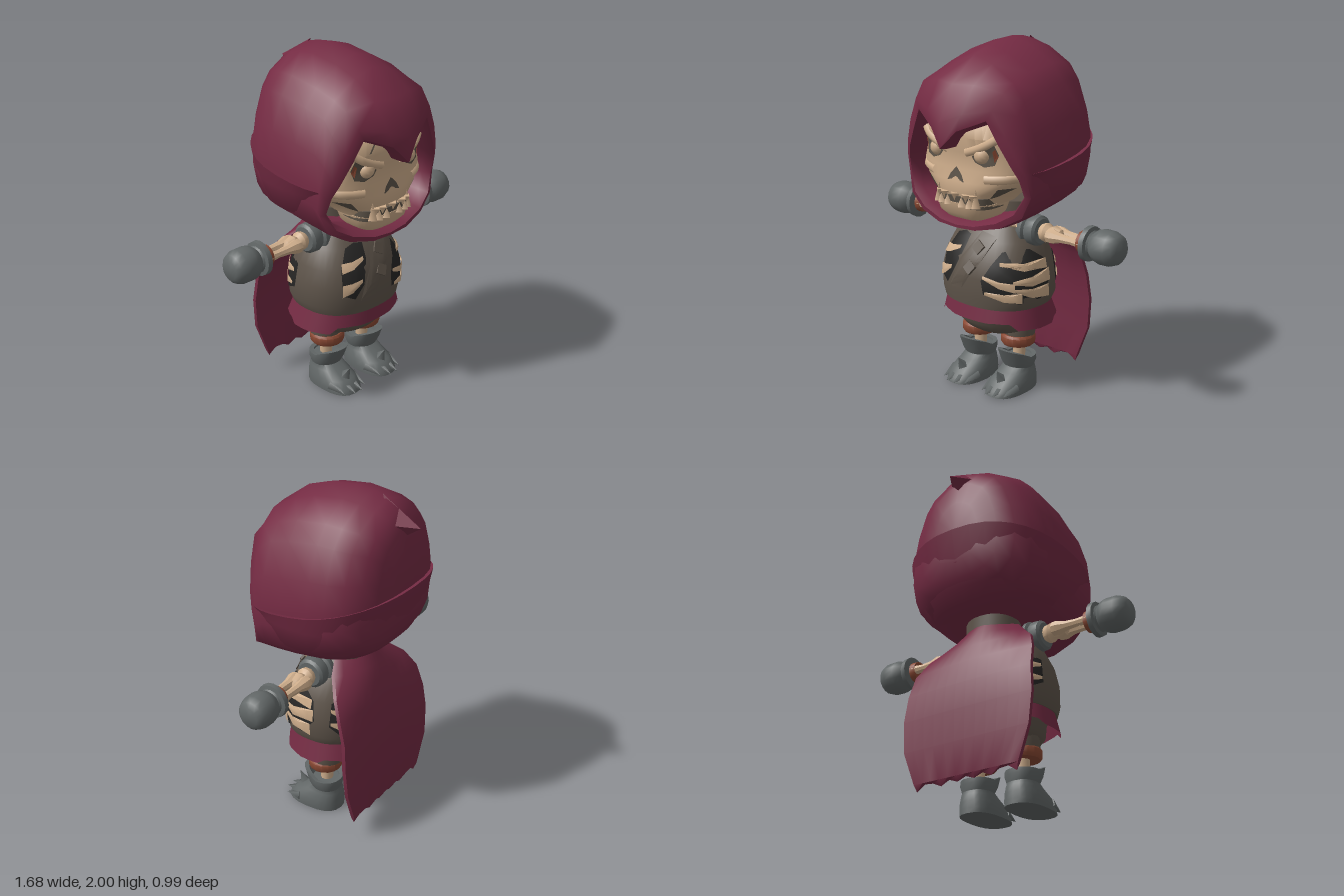
import * as THREE from 'three';
import { toCreasedNormals } from 'three/addons/utils/BufferGeometryUtils.js';

const mat = (name, color, side = THREE.FrontSide) => Object.assign(new THREE.MeshStandardMaterial({ color, side }), { name });
const cloth = mat('maroon cloth', 0x742b43, THREE.DoubleSide);
const bone = mat('bone', 0xcfae8c, THREE.DoubleSide);
const leather = mat('worn leather', 0x5e544a, THREE.DoubleSide);
const metal = mat('grey metal', 0x626767, THREE.DoubleSide);
const rust = mat('rust strap', 0x8c4a34, THREE.DoubleSide);
const dark = mat('dark hollow', 0x272625, THREE.DoubleSide);
const shade = mat('socket brown', 0x5c5348, THREE.DoubleSide);

const rad = THREE.MathUtils.degToRad;
const spow = (v, e) => Math.sign(v) * Math.abs(v) ** e;

export function createModel() {
  const root = new THREE.Group();
  root.name = 'hoodedSkeleton';

  const add = (name, geo, material, parent = root) => {
    const m = new THREE.Mesh(geo, material);
    m.name = name;
    parent.add(m);
    return m;
  };

  // Surface through rows of points
  const grid = (rows, crease = 0.7) => {
    const n = rows[0].length, idx = [];
    for (let i = 0; i < rows.length - 1; i++) for (let j = 0; j < n - 1; j++) {
      const a = i * n + j, b = a + n;
      idx.push(a, a + 1, b + 1, a, b + 1, b);
    }
    const g = new THREE.BufferGeometry();
    g.setAttribute('position', new THREE.Float32BufferAttribute(rows.flat(2), 3));
    g.setIndex(idx);
    return toCreasedNormals(g, crease);
  };

  // Skin over rows [y, halfWidth, zFront, zBack]; a = degrees from the front towards +x
  const makeSkin = (rows, e = 1) => (a, y, off = 0) => {
    let i = 0;
    while (i < rows.length - 2 && y > rows[i + 1][0]) i++;
    const t = (y - rows[i][0]) / (rows[i + 1][0] - rows[i][0]);
    const [w, f, b] = [1, 2, 3].map(k => THREE.MathUtils.lerp(rows[i][k], rows[i + 1][k], t));
    const s = Math.sin(rad(a)), c = Math.cos(rad(a));
    return [w * spow(s, e) + off * s, y, (f + b) / 2 + (f - b) / 2 * spow(c, e) + off * c];
  };
  const loft = (rows, e = 1, sides = 32) => {
    const skin = makeSkin(rows, e);
    const pole = r => Array(sides + 1).fill([0, r[0], (r[2] + r[3]) / 2]);
    const rings = rows.map(r => Array.from({ length: sides + 1 }, (_, j) => skin(j * 360 / sides, r[0])));
    return grid([pole(rows[0]), ...rings, pole(rows.at(-1))]);
  };

  // Thin patch that follows a skin; outline points are [degrees, y]
  const patch = (skin, pts, off = 0.006) => {
    const loop = [...pts, pts[0]];
    const ca = pts.reduce((s, p) => s + p[0], 0) / pts.length, cy = pts.reduce((s, p) => s + p[1], 0) / pts.length;
    return grid([0, 0.25, 0.5, 0.75, 1].map(k => loop.map(([a, y]) => skin(ca + (a - ca) * k, cy + (y - cy) * k, off))));
  };
  const flip = (pts, s) => pts.map(([a, y]) => [a * s, y]);
  const tube = (pts, r) => new THREE.TubeGeometry(new THREE.CatmullRomCurve3(pts.map(p => new THREE.Vector3(...p))), 10, r, 7);
  const ridge = (skin, a0, y0, a1, y1, r, off) =>
    tube([0, 0.33, 0.67, 1].map(t => skin(a0 + (a1 - a0) * t, y0 + (y1 - y0) * t, off)), r);
  const lathe = (pts, sides = 16) => toCreasedNormals(new THREE.LatheGeometry(pts.map(p => new THREE.Vector2(...p)), sides), 0.7);

  // Hood: rings from the face opening to the back
  const mirrorRing = h => [...h, ...h.slice(0, -1).reverse().map(([x, y, z]) => [-x, y, z])];
  const rim = [[0, 1.47, 0.485], [0.09, 1.57, 0.455], [0.24, 1.635, 0.39], [0.30, 1.52, 0.37], [0.365, 1.40, 0.34], [0.395, 1.33, 0.31],
    [0.41, 1.23, 0.28], [0.36, 1.135, 0.31], [0.26, 1.075, 0.34], [0.12, 1.035, 0.36], [0, 1.025, 0.365]];
  const lip = [[0, 1.61, 0.49], [0.12, 1.66, 0.45], [0.27, 1.69, 0.38], [0.34, 1.56, 0.355], [0.40, 1.42, 0.32], [0.43, 1.34, 0.29],
    [0.44, 1.23, 0.265], [0.40, 1.12, 0.29], [0.28, 1.05, 0.33], [0.13, 1.015, 0.36], [0, 1.01, 0.365]];
  const brow = [[0, 1.80, 0.385], [0.13, 1.805, 0.355], [0.285, 1.775, 0.305], [0.365, 1.66, 0.285], [0.418, 1.50, 0.28], [0.438, 1.37, 0.26],
    [0.445, 1.25, 0.25], [0.41, 1.13, 0.26], [0.29, 1.05, 0.28], [0.14, 1.015, 0.30], [0, 1.01, 0.30]];
  const inset = (k, dz) => rim.map(([x, y, z]) => [x * k, 1.32 + (y - 1.32) * k, z - dz]);
  const outline = [[0, 1], [0.29, 0.96], [0.62, 0.87], [0.78, 0.77], [0.93, 0.58], [1, 0.42], [1, 0.28], [0.94, 0.14], [0.7, 0.045], [0.35, 0.008], [0, 0]];
  const sections = [[0.21, 0.445, 1.93, 1.02], [0.08, 0.46, 1.975, 1.035], [-0.1, 0.46, 2.0, 1.06], [-0.2, 0.45, 1.99, 1.085], [-0.29, 0.41, 1.965, 1.12],
    [-0.36, 0.345, 1.925, 1.17], [-0.405, 0.26, 1.84, 1.23], [-0.435, 0.15, 1.7, 1.33], [-0.445, 0, 1.5, 1.5]]
    .map(([z, w, top, low]) => outline.map(([u, v]) => [u * w, low + (top - low) * v, z]));
  add('hood', grid([inset(0.92, 0.2), inset(0.93, 0.05), rim, lip, brow, ...sections].map(mirrorRing), 0.95), cloth);

  // Folded lower layer of the hood
  const fold = [[0.5, 0.5, 1.095], [0.72, 0.68, 1.12], [0.88, 0.81, 1.185], [0.96, 0.92, 1.32], [1, 1, 0], [0.9, 0.9, -0.015]].map(([sx, sz, y]) =>
    Array.from({ length: 25 }, (_, j) => {
      const b = rad(120 - j * 10), edge = 1.34 + 0.17 * ((1 + Math.cos(b)) / 2) ** 1.5;
      return [0.5 * sx * spow(Math.sin(b), 0.85), y > 1 ? y : edge + y, -0.47 * sz * spow(Math.cos(b), 0.85)];
    }));
  add('hoodFold', grid(fold, 0.8), cloth);

  // Drooping point at the back of the hood
  const tip = [0, 1.845, -0.495], L = [-0.085, 1.86, -0.36], R = [0.085, 1.86, -0.36];
  add('hoodPoint', grid([[R, [0, 1.985, -0.26], L, [0, 1.78, -0.4], R], Array(5).fill(tip)], 0.2), cloth);

  // Skull
  const skullRows = [[1.15, 0.2, 0.345, 0], [1.21, 0.24, 0.37, -0.1], [1.27, 0.34, 0.36, -0.2], [1.34, 0.375, 0.35, -0.2],
    [1.43, 0.35, 0.345, -0.2], [1.52, 0.34, 0.38, -0.2], [1.62, 0.28, 0.35, -0.2], [1.72, 0.16, 0.22, -0.1]];
  const face = makeSkin(skullRows, 0.75);
  add('skull', loft(skullRows, 0.75, 40), bone);
  add('nose', patch(face, [[0, 1.35], [3, 1.31], [5.5, 1.27], [2, 1.28], [0, 1.31], [-2, 1.28], [-5.5, 1.27], [-3, 1.31]]), shade);
  add('browCrack', patch(face, [[-17, 1.59], [-24, 1.53], [-22, 1.53], [-15, 1.59]]), shade);
  for (const s of [-1, 1]) {
    add('eyeSocket', patch(face, flip([[11, 1.42], [14, 1.39], [23, 1.37], [34, 1.385], [40, 1.44], [38, 1.505], [24, 1.465]], s), 0.008), shade);
    add('eyeCorner', patch(face, flip([[34, 1.40], [39, 1.43], [38, 1.475], [34, 1.46]], s), 0.012), rust);
    add('eye', new THREE.SphereGeometry(0.05, 14, 10), bone).position.set(...face(21 * s, 1.43, -0.012));
    add('browRidge', ridge(face, 6 * s, 1.435, 42 * s, 1.525, 0.025, -0.004), bone);
    add('cheekbone', ridge(face, 24 * s, 1.30, 62 * s, 1.315, 0.03, -0.016), bone);
    add('cheekHollow', patch(face, flip([[46, 1.25], [70, 1.255], [64, 1.205], [50, 1.19]], s)), shade);
  }

  // Jaw and pointed teeth
  const jawRows = [[1.055, 0.14, 0.33, 0.1], [1.09, 0.175, 0.365, 0.08], [1.155, 0.195, 0.378, 0.06]];
  add('jaw', loft(jawRows, 0.65), bone);
  const mouthRows = [[1.13, 0.19, 0.372, 0.1], [1.19, 0.19, 0.378, 0.1]];
  add('mouthGap', loft(mouthRows, 0.65), shade);
  const mouth = makeSkin(mouthRows, 0.65);
  for (let i = 0; i < 6; i++) {
    const a = (i - 2.5) * 15, fang = i % 5 === 0 ? 0.1 : 0.07;
    add('lowerTooth', new THREE.ConeGeometry(0.034, fang, 4), bone).position.set(...mouth(a, 1.14 + fang / 2, -0.008));
    if (i < 5) {
      const t = add('upperTooth', new THREE.ConeGeometry(0.03, 0.055, 4), bone);
      t.position.set(...mouth(a + 7.5, 1.18, -0.008));
      t.rotation.x = Math.PI;
    }
  }

  // Torso: leather tunic with torn holes
  const torsoRows = [[0.53, 0.31, 0.27, -0.25], [0.58, 0.33, 0.275, -0.265], [0.7, 0.325, 0.28, -0.26], [0.8, 0.305, 0.255, -0.245],
    [0.9, 0.26, 0.2, -0.215], [0.98, 0.2, 0.14, -0.19], [1.03, 0.16, 0.1, -0.17]];
  const chest = makeSkin(torsoRows, 0.85);
  add('tunic', loft(torsoRows, 0.85, 40), leather);
  const hole = pts => add('tunicHole', patch(chest, pts), dark);
  hole([[-8, 0.92], [-9, 0.84], [-16, 0.71], [-26, 0.63], [-40, 0.66], [-42, 0.8], [-34, 0.91], [-20, 0.93]]);
  hole([[36, 0.86], [24, 0.79], [14, 0.7], [16, 0.62], [40, 0.59], [58, 0.575], [85, 0.59], [98, 0.68], [95, 0.8], [75, 0.87]]);
  hole([[118, 0.8], [128, 0.82], [142, 0.76], [140, 0.65], [128, 0.61], [116, 0.66]]);
  hole([[-100, 0.79], [-125, 0.82], [-142, 0.76], [-140, 0.64], [-125, 0.6], [-102, 0.65]]);

  // Ribs: wedges from a thin tip to a thick root [tip deg, y, root deg, y, half height]
  for (const [a0, y0, a1, y1, h] of [[-13, 0.85, -41, 0.815, 0.026], [-18, 0.735, -41, 0.69, 0.036],
    [16, 0.72, 52, 0.67, 0.026], [18, 0.63, 60, 0.61, 0.03], [34, 0.8, 94, 0.78, 0.028], [50, 0.7, 97, 0.715, 0.036], [52, 0.655, 94, 0.625, 0.036],
    [118, 0.76, 139, 0.74, 0.028], [118, 0.68, 139, 0.67, 0.03], [-104, 0.75, -140, 0.74, 0.03], [-105, 0.67, -138, 0.67, 0.03]]) {
    const am = (a0 + a1) / 2, ym = (y0 + y1) / 2 - 0.006;
    add('rib', patch(chest, [[a0, y0 + 0.01], [am, ym + h * 0.7], [a1, y1 + h], [a1, y1 - h], [am, ym - h * 0.8], [a0, y0 - 0.008]], 0.014), bone);
  }
  add('chestStrap', patch(chest, [[4, 0.95], [28, 0.93], [12, 0.8], [-4, 0.63], [-20, 0.62], [-8, 0.8]], 0.013), leather);
  for (const [a, y] of [[6, 0.87], [2, 0.76]]) {
    const b = add('strapBuckle', new THREE.BoxGeometry(0.06, 0.06, 0.015), leather);
    b.position.set(...chest(a, y, 0.014));
    b.rotation.set(-0.45, 0, -0.55);
  }
  add('collar', loft([[0.98, 0.17, 0.07, -0.19], [1.1, 0.165, 0.06, -0.2]], 1, 20), leather);
  add('collarbone', tube([[-0.2, 1.0, 0.09], [-0.08, 1.0, 0.135], [0, 0.985, 0.145], [0.08, 1.0, 0.135], [0.2, 1.0, 0.09]], 0.016), bone);

  // Pelvis and ragged skirt
  add('pelvis', loft([[0.335, 0.17, 0.14, -0.15], [0.36, 0.22, 0.18, -0.19], [0.41, 0.255, 0.225, -0.225], [0.54, 0.27, 0.235, -0.235]]), leather);
  const skirt = makeSkin([[0.4, 0.34, 0.275, -0.29], [0.53, 0.305, 0.25, -0.24]], 0.85);
  const hem = [0.445, 0.45, 0.415, 0.41, 0.435, 0.42, 0.425];
  add('skirt', grid([0, 1].map(top => Array.from({ length: 41 }, (_, j) => skirt(j * 9, top ? 0.53 : hem[Math.floor(Math.min(j, 40 - j) / 3)])))), cloth);

  // Cape: rows [y, halfWidth, z, forward curl of the edges], front and back layers joined in a loop
  const capeRows = [[0.09, 0.32, -0.31, 0], [0.13, 0.335, -0.312, 0], [0.32, 0.405, -0.318, 0], [0.5, 0.42, -0.32, 0.01], [0.65, 0.405, -0.31, 0.015],
    [0.78, 0.39, -0.285, 0.03], [0.88, 0.34, -0.255, 0.06], [0.96, 0.25, -0.22, 0.1], [1.03, 0.18, -0.19, 0.11]];
  const tatter = [0, 0.035, 0.03, 0.005, 0.03, 0.01, 0.03];
  add('cape', grid(capeRows.map(([y, w, z, curl], r) => {
    const half = r % (capeRows.length - 1) ? 0.011 : 0;
    const layer = d => Array.from({ length: 13 }, (_, j) => {
      const u = 1 - j / 6;
      return [u * w, r ? y : y + tatter[Math.min(j, 12 - j)], z + curl * u * u + d];
    });
    const back = layer(-half);
    return [...back, ...layer(half).reverse(), back[0]];
  })), cloth);

  for (const s of [-1, 1]) {
    // Arm: lathed parts along x
    const arm = new THREE.Group();
    arm.name = s > 0 ? 'leftArm' : 'rightArm';
    arm.position.y = 0.962;
    arm.rotation.z = -s * Math.PI / 2;
    root.add(arm);
    add('shoulderPad', lathe([[0, 0.17], [0.08, 0.18], [0.095, 0.21], [0.095, 0.225], [0.08, 0.235], [0.088, 0.25], [0.085, 0.295], [0.07, 0.308], [0, 0.308]]), metal, arm);
    add('upperArmBone', lathe([[0.035, 0.3], [0.05, 0.32], [0.055, 0.345], [0.038, 0.37], [0.05, 0.395], [0.035, 0.44], [0, 0.46]], 10), bone, arm);
    for (const z of [-0.034, 0.034]) {
      add('forearmBone', lathe([[0, 0.36], [0.04, 0.38], [0.042, 0.41], [0.027, 0.46], [0.022, 0.53], [0.028, 0.6]], 8), bone, arm).position.z = z;
    }
    add('wristStrap', lathe([[0, 0.578], [0.06, 0.578], [0.062, 0.618], [0, 0.62]]), rust, arm);
    add('glove', lathe([[0, 0.615], [0.08, 0.615], [0.098, 0.622], [0.096, 0.65], [0.075, 0.655], [0.068, 0.665], [0.088, 0.69],
      [0.097, 0.72], [0.096, 0.78], [0.08, 0.82], [0.055, 0.84], [0, 0.84]]), metal, arm);

    // Leg and boot
    const leg = new THREE.Group();
    leg.name = s > 0 ? 'leftLeg' : 'rightLeg';
    leg.position.x = s * 0.147;
    root.add(leg);
    add('thigh', lathe([[0, 0.29], [0.085, 0.29], [0.095, 0.34], [0.09, 0.4]]), leather, leg);
    add('kneeStrap', lathe([[0, 0.262], [0.09, 0.265], [0.1, 0.28], [0.1, 0.315], [0.09, 0.328], [0, 0.328]]), rust, leg).position.z = 0.01;
    add('shinBone', new THREE.CylinderGeometry(0.04, 0.035, 0.14, 10), bone, leg).position.y = 0.22;
    add('boot', loft([[0, 0.108, 0.245, -0.1], [0.03, 0.11, 0.235, -0.1], [0.07, 0.104, 0.195, -0.098], [0.11, 0.09, 0.125, -0.092],
      [0.14, 0.08, 0.085, -0.08], [0.185, 0.085, 0.085, -0.08]], 0.8, 20), metal, leg);

    // Boot cuff, rising to a peak at the shin
    const cuffSkin = makeSkin([[0.13, 0.085, 0.085, -0.085], [0.17, 0.1, 0.105, -0.093], [0.25, 0.1, 0.14, -0.093]], 0.9);
    add('bootCuff', grid([[0.13, 0, 0], [0.17, 0, 0], [0.198, 1, 0], [0.195, 1, -0.025], [0.17, 0, -0.03]].map(([y, up, off]) =>
      Array.from({ length: 21 }, (_, j) => cuffSkin(j * 18, y + up * 0.052 * Math.max(0, Math.cos(rad(j * 18))) ** 0.7, off)))), metal, leg);

    // Spike and claws on the toes
    const spike = add('toeSpike', new THREE.ConeGeometry(0.045, 0.09, 4), metal, leg);
    spike.position.set(0, 0.105, 0.175);
    spike.rotation.x = 0.5;
    for (let i = 0; i < 4; i++) {
      const claw = add('toeClaw', new THREE.ConeGeometry(0.034, 0.11, 5), metal, leg);
      claw.position.set((i - 1.5) * 0.054, 0.03, i % 3 ? 0.222 : 0.185);
      claw.rotation.x = Math.PI / 2 + 0.18;
    }
  }
  return root;
}
